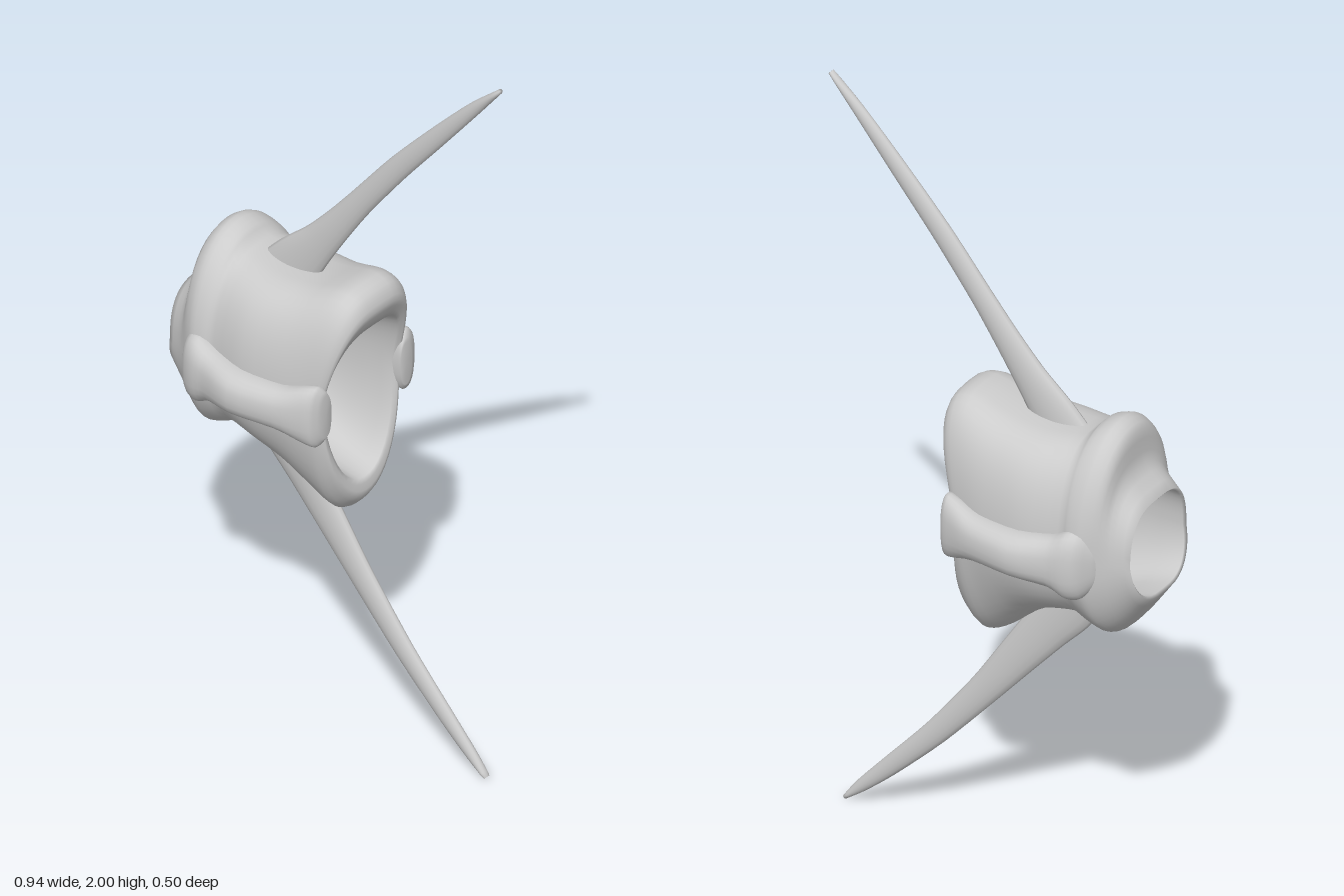
import * as THREE from 'three';

const material = new THREE.MeshStandardMaterial({ color: 0xcccccc, side: THREE.DoubleSide });

// Skin a list of closed rings; either wrap the last ring to the first or cap both ends.
function loft(name, rings, wrap = false) {
  const n = rings[0].length, m = rings.length, index = [];
  const points = rings.flat();
  for (let i = 0; i < (wrap ? m : m - 1); i++) {
    for (let j = 0; j < n; j++) {
      const k = (j + 1) % n, p = i * n, q = ((i + 1) % m) * n;
      index.push(p + j, q + j, p + k, q + j, q + k, p + k);
    }
  }
  if (!wrap) {
    for (const [ring, base, first] of [[rings[0], 0, true], [rings[m - 1], (m - 1) * n, false]]) {
      const centre = ring.reduce((s, p) => s.add(p), new THREE.Vector3()).divideScalar(n);
      const c = points.push(centre) - 1;
      for (let j = 0; j < n; j++) {
        const a = base + j, b = base + (j + 1) % n;
        index.push(c, first ? a : b, first ? b : a);
      }
    }
  }
  const geometry = new THREE.BufferGeometry().setFromPoints(points);
  geometry.setIndex(index);
  geometry.computeVertexNormals();
  const mesh = new THREE.Mesh(geometry, material);
  mesh.name = name;
  return mesh;
}

const power = (v, e) => Math.sign(v) * Math.abs(v) ** e;

// Smooth curve through points given as triples, sampled evenly per span.
function smooth(rows, steps) {
  const curve = new THREE.CatmullRomCurve3(rows.map(r => new THREE.Vector3(...r)), false, 'catmullrom', 0.4);
  return curve.getPoints((rows.length - 1) * steps);
}

// Hollow body: rings run forward outside, then back through the bore.
// Each row: x and y at the top, x and y at the bottom, x and half width at the side,
// then the squareness of the upper and lower halves (1 is round, less is squarer).
function makeBody() {
  const outside = [
    [-0.457, 1.10, -0.473, 0.845, -0.455, 0.128, 0.6, 0.7],
    [-0.40, 1.165, -0.42, 0.77, -0.41, 0.148, 0.75, 0.8],
    [-0.392, 1.26, -0.385, 0.73, -0.37, 0.172, 0.95, 0.9],
    [-0.355, 1.29, -0.36, 0.718, -0.34, 0.187, 1, 0.95],
    [-0.31, 1.275, -0.32, 0.735, -0.31, 0.186, 0.95, 0.95],
    [-0.28, 1.245, -0.28, 0.755, -0.28, 0.178, 0.75, 0.85],
    [-0.18, 1.235, -0.20, 0.745, -0.18, 0.194, 0.62, 0.8],
    [-0.07, 1.245, -0.13, 0.70, -0.07, 0.182, 0.62, 0.9],
    [0.03, 1.275, -0.06, 0.64, -0.01, 0.166, 0.65, 1],
    [0.08, 1.26, 0.00, 0.61, 0.02, 0.156, 0.62, 1],
    [0.098, 1.215, 0.05, 0.66, 0.03, 0.144, 0.62, 1],
    [0.075, 1.16, 0.045, 0.71, 0.02, 0.128, 0.6, 0.95],
  ];
  const bore = [
    outside.at(-1),
    [-0.08, 1.11, -0.08, 0.735, -0.08, 0.122, 0.5, 0.8],
    [-0.25, 1.10, -0.25, 0.785, -0.25, 0.122, 0.5, 0.7],
    [-0.45, 1.092, -0.468, 0.853, -0.448, 0.122, 0.55, 0.65],
  ];
  const sample = rows => {
    const [a, b, e] = [[0, 1, 4], [2, 3, 5], [6, 7, 7]].map(
      columns => smooth(rows.map(r => columns.map(c => r[c])), 3));
    return a.map((p, i) => [p.x, p.y, b[i].x, b[i].y, p.z, b[i].z, e[i].x, e[i].y]);
  };
  const rows = [...sample(outside), ...sample(bore).slice(1)];
  const sides = 48, mid = 0.965;
  const rings = rows.map(([xTop, yTop, xBot, yBot, xSide, zSide, eTop, eBot]) =>
    Array.from({ length: sides }, (_, j) => {
      const t = j / sides * Math.PI * 2, s = Math.sin(t), c = Math.cos(t), up = s >= 0;
      const x = THREE.MathUtils.lerp(xSide, up ? xTop : xBot, Math.abs(s));
      const y = up ? mid + (yTop - mid) * s ** 0.85 : mid + (mid - yBot) * s;
      return new THREE.Vector3(x, y, zSide * power(c, up ? eTop : eBot));
    }));
  return loft('hollowBody', rings, true);
}

// Raised lengthwise band on a flank, flaring into a knob at each end.
function makeSideRidge(name, side) {
  // Each row: x, half height, outermost z.
  const rows = smooth([
    [-0.385, 0.04, 0.16], [-0.35, 0.085, 0.208], [-0.315, 0.092, 0.224],
    [-0.27, 0.07, 0.229], [-0.18, 0.06, 0.25], [-0.06, 0.06, 0.23],
    [0.0, 0.078, 0.212], [0.035, 0.085, 0.198], [0.05, 0.06, 0.17],
  ], 3);
  const inner = 0.13;
  const rings = rows.map(({ x, y: h, z }) => Array.from({ length: 24 }, (_, j) => {
    const t = j / 24 * Math.PI * 2;
    return new THREE.Vector3(x, 0.96 + h * power(Math.sin(t), 0.8),
      side * (z + inner) / 2 + (z - inner) / 2 * power(Math.cos(t), 0.9));
  }));
  return loft(name, rings);
}

// Flat tapering blade; each row: x, y, half width.
function makeSpine(name, rows) {
  const path = smooth(rows, 4), last = path.length - 1;
  const rings = path.map((p, i) => {
    const a = path[Math.max(i - 1, 0)], b = path[Math.min(i + 1, last)];
    const along = new THREE.Vector3(b.x - a.x, b.y - a.y, 0).normalize();
    const depth = Math.min(0.024 - 0.013 * i / last, p.z * 1.5);
    return Array.from({ length: 16 }, (_, j) => {
      const t = j / 16 * Math.PI * 2, w = p.z * Math.sin(t);
      return new THREE.Vector3(p.x - along.y * w, p.y + along.x * w, depth * Math.cos(t));
    });
  });
  return loft(name, rings);
}

export function createModel() {
  const group = new THREE.Group();
  group.name = 'spinedVertebra';
  group.add(
    makeBody(),
    makeSideRidge('frontSideRidge', 1),
    makeSideRidge('rearSideRidge', -1),
    makeSpine('upperSpine', [
      [-0.21, 1.18, 0.075], [-0.16, 1.245, 0.066], [-0.095, 1.325, 0.049], [-0.03, 1.41, 0.039],
      [0.04, 1.503, 0.033], [0.15, 1.643, 0.03], [0.27, 1.782, 0.025], [0.385, 1.912, 0.017], [0.466, 1.997, 0.006],
    ]),
    makeSpine('lowerSpine', [
      [-0.28, 0.81, 0.05], [-0.21, 0.73, 0.068], [-0.14, 0.645, 0.06], [-0.05, 0.53, 0.049],
      [0.04, 0.415, 0.039], [0.17, 0.262, 0.031], [0.3, 0.128, 0.024], [0.38, 0.05, 0.016], [0.425, 0.006, 0.006],
    ]),
  );
  return group;
}
